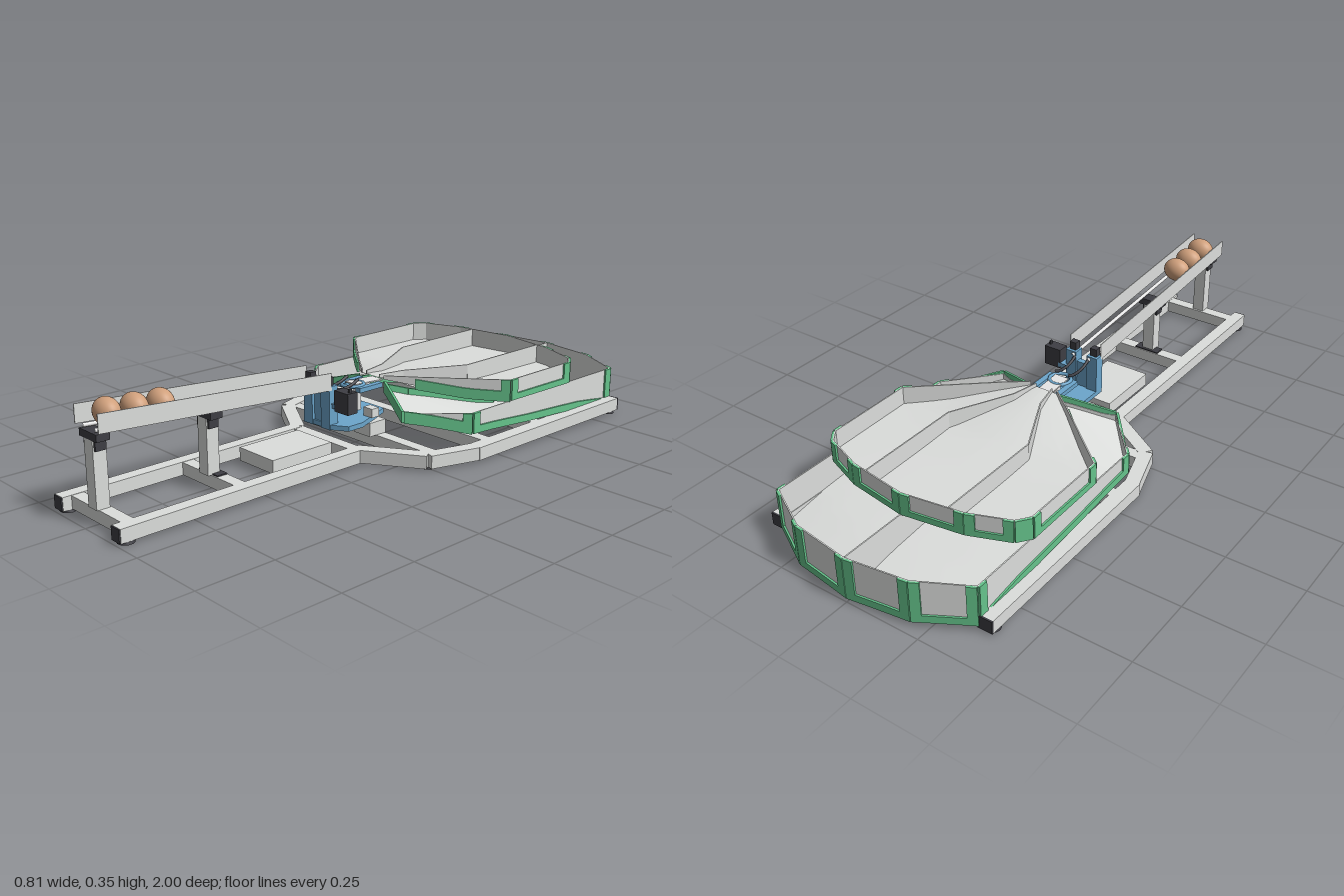
import * as THREE from 'three';

const mat = (name, color, side = THREE.FrontSide) => {
  const m = new THREE.MeshStandardMaterial({ color, side });
  m.name = name;
  return m;
};

export function createModel() {
  const root = new THREE.Group();
  root.name = 'eggSortingTable';
  const grey = mat('light grey', 0xdcdedc);
  const sheet = mat('grey sheet', 0xdcdedc, THREE.DoubleSide);
  const green = mat('green', 0x66c48c);
  const blue = mat('blue', 0x6ca6cc);
  const black = mat('black', 0x3e3e44);
  const eggTan = mat('egg tan', 0xd0a07c);
  const white = mat('white', 0xeeeeee);

  const add = (name, geo, m, x = 0, y = 0, z = 0) => {
    const mesh = new THREE.Mesh(geo, m);
    mesh.name = name;
    mesh.position.set(x, y, z);
    root.add(mesh);
    return mesh;
  };
  // box from its lower and upper limits
  const box = (name, m, x0, x1, y0, y1, z0, z1) =>
    add(name, new THREE.BoxGeometry(x1 - x0, y1 - y0, z1 - z0), m, (x0 + x1) / 2, (y0 + y1) / 2, (z0 + z1) / 2);

  // piecewise linear lookup in [key, value] pairs with rising keys
  const lookup = (table, k) => {
    if (k <= table[0][0]) return table[0][1];
    for (let i = 1; i < table.length; i++) {
      const [a, u] = table[i - 1], [b, v] = table[i];
      if (k <= b) return u + ((v - u) * (k - a)) / (b - a);
    }
    return table[table.length - 1][1];
  };

  // upright panel from p to q ([x, z]) whose lower and upper edges follow functions of x, z;
  // out moves it sideways, away from the tray middle
  const panel = (name, m, p, q, lo, hi, t = 0.004, out = 0) => {
    const geo = new THREE.BoxGeometry(1, 1, 1, 8, 1, 1).toNonIndexed();
    const pos = geo.attributes.position;
    const dx = q[0] - p[0], dz = q[1] - p[1], len = Math.hypot(dx, dz);
    const away = -dz * (p[0] + q[0]) + dx * (p[1] + q[1] + 0.8) > 0 ? out : -out;
    for (let i = 0; i < pos.count; i++) {
      const s = pos.getX(i) + 0.5, w = pos.getZ(i) * t + away;
      const x = p[0] + dx * s, z = p[1] + dz * s;
      pos.setXYZ(i, x - (dz / len) * w, pos.getY(i) < 0 ? lo(x, z) : hi(x, z), z + (dx / len) * w);
    }
    geo.computeVertexNormals();
    return add(name, geo, m);
  };
  const chain = (name, m, pts, lo, hi, t, out) => {
    for (const s of [-1, 1])
      for (let i = 1; i < pts.length; i++)
        panel(name, m, [s * pts[i - 1][0], pts[i - 1][1]], [s * pts[i][0], pts[i][1]], lo, hi, t, out);
  };

  // sloping tray floor, built from rows between an inner and an outer edge
  const floor = (name, inner, outer, h) => {
    const z0 = outer[0][0], z1 = outer[outer.length - 1][0];
    const zs = [...inner, ...outer].map(e => e[0]);
    for (let z = z0; z < z1; z += 0.04) zs.push(z);
    const rows = [...new Set(zs)].filter(z => z >= z0 && z <= z1).sort((a, b) => a - b);
    const n = 10;
    for (const s of [-1, 1]) {
      const verts = [], idx = [];
      rows.forEach((z, r) => {
        const a = lookup(inner, z), b = lookup(outer, z);
        for (let i = 0; i <= n; i++) {
          const x = s * (a + ((b - a) * i) / n);
          verts.push(x, h(x, z), z);
          if (r && i) {
            const d = r * (n + 1) + i, c = d - 1, f = d - n - 1, e = f - 1;
            if (s > 0) idx.push(e, c, f, f, c, d);
            else idx.push(e, f, c, f, d, c);
          }
        }
      });
      const geo = new THREE.BufferGeometry();
      geo.setAttribute('position', new THREE.Float32BufferAttribute(verts, 3));
      geo.setIndex(idx);
      geo.computeVertexNormals();
      add(name, geo, sheet);
    }
  };

  // tray heights fall with distance from the nozzle
  const slope = table => (x, z) => lookup(table, Math.hypot(x, z + 0.06));
  const hLow = slope([[0.06, 0.175], [0.37, 0.09], [0.5, 0.07], [0.75, 0.05], [0.94, 0.018]]);
  const hUp = slope([[0.05, 0.208], [0.13, 0.195], [0.32, 0.166], [0.45, 0.16], [0.7, 0.157]]);
  const topLow = (x, z) => Math.max(0.15, hLow(x, z) + 0.012);
  const topUp = (x, z) => Math.max(0.22, hUp(x, z) + 0.012);
  const lift = (h, d) => (x, z) => h(x, z) + d;

  // lower tray
  const lowOut = [[0, -0.993], [0.2, -0.965], [0.36, -0.88], [0.36, -0.16], [0.22, 0], [0.06, -0.08]];
  const lowIn = [[0.06, -0.08], [0.1, -0.14], [0.19, -0.46], [0, -0.56]];
  floor('lowerTrayFloor', [[-0.56, 0], [-0.46, 0.19], [-0.14, 0.1], [-0.08, 0.06], [0, 0.22]],
    [[-0.993, 0], [-0.965, 0.2], [-0.88, 0.36], [-0.16, 0.36], [0, 0.22]], hLow);
  chain('lowerTrayWall', grey, lowOut, hLow, topLow);
  chain('lowerInnerWall', grey, lowIn, hLow, topLow);
  chain('lowerEdgeStrip', green, lowOut.slice(0, 4), lift(hLow, -0.006), lift(hLow, 0.018), 0.008, 0.004);
  chain('lowerFrontStrip', green, lowOut.slice(3), lift(hLow, -0.008), lift(hLow, 0.03), 0.008, 0.004);
  chain('lowerInnerStrip', green, lowIn, lift(hLow, -0.008), lift(hLow, 0.02), 0.01);
  panel('lowerDivider', grey, [0, -0.56], [0, -0.99], hLow, topLow);

  // upper tray
  const upOut = [[0, -0.76], [0.2, -0.73], [0.33, -0.68], [0.36, -0.64], [0.36, -0.34], [0.13, -0.143], [0.05, -0.08]];
  floor('upperTrayFloor', [[-0.76, 0], [-0.08, 0]],
    [[-0.76, 0], [-0.73, 0.2], [-0.68, 0.33], [-0.64, 0.36], [-0.34, 0.36], [-0.143, 0.13], [-0.08, 0.05]], hUp);
  chain('upperTrayWall', grey, upOut, hUp, topUp);
  chain('upperEdgeStrip', green, upOut.slice(0, 5), lift(hUp, -0.008), lift(hUp, 0.012), 0.008, 0.004);
  chain('upperFrontStrip', green, upOut.slice(4, 6), lift(hUp, -0.012), lift(hUp, 0.022), 0.008, 0.004);
  chain('laneDivider', grey, [[0.15, -0.735], [0.15, -0.37], [0.05, -0.17], [0.03, -0.08]], hUp, topUp);

  // green corner brackets, each wrapping the outside of the two edges at a corner
  const brackets = (pts, ids, lo, hi) => {
    for (const i of ids)
      for (const j of [i - 1, i + 1]) {
        if (!pts[j]) continue;
        const d = Math.hypot(pts[j][0] - pts[i][0], pts[j][1] - pts[i][1]);
        const k = Math.min(0.03 / d, 0.5);
        const e = [0, 1].map(c => pts[i][c] + (pts[j][c] - pts[i][c]) * k);
        chain('cornerBracket', green, [pts[i], e], lo, hi, 0.008, 0.004);
      }
  };
  brackets(lowOut, [0, 1, 2, 3], lift(hLow, -0.004), topLow);
  brackets(upOut, [0, 1, 2, 3, 4], lift(hUp, -0.004), topUp);

  // black pads under the lower tray
  for (const s of [-1, 1])
    for (const [x, z] of [[0.09, -0.86], [0.26, -0.84]])
      box('trayPad', black, s * x - 0.02, s * x + 0.02, hLow(x, z) - 0.012, hLow(x, z) - 0.004, z - 0.015, z + 0.015);

  // base frame
  const y0 = () => 0.008, y1 = () => 0.05;
  for (const s of [-1, 1]) {
    box('rearRail', grey, s * 0.38 - 0.024, s * 0.38 + 0.024, 0.008, 0.05, -0.876, -0.15);
    box('frontRail', grey, s * 0.146 - 0.021, s * 0.146 + 0.021, 0.008, 0.05, 0.12, 0.993);
    box('railCap', black, s * 0.38 - 0.024, s * 0.38 + 0.024, 0.008, 0.05, -0.882, -0.876);
    box('railCap', black, s * 0.146 - 0.019, s * 0.146 + 0.019, 0.009, 0.049, 0.993, 0.997);
    for (const [x, z] of [[0.38, -0.85], [0.146, 0.965], [0.315, -0.01]])
      add('foot', new THREE.CylinderGeometry(0.022, 0.025, 0.008, 20), black, s * x, 0.004, z);
  }
  chain('bentRail', grey, [[0.381, -0.16], [0.33, 0.005], [0.14, 0.125]], y0, y1, 0.046);
  for (const [z, w] of [[0.945, 0.13], [0.57, 0.13], [0.13, 0.16], [-0.02, 0.32], [-0.23, 0.36], [-0.48, 0.36]])
    box('crossBar', grey, -w, w, 0.009, 0.049, z - 0.02, z + 0.02);
  box('controlBox', grey, -0.092, 0.068, 0.015, 0.058, 0.165, 0.4);

  // inclined chute with side plates and rods
  const chuteY = z => 0.222 + (z - 0.155) * 0.07;
  for (const s of [-1, 1]) {
    panel('chuteSide', grey, [s * 0.059, 0.155], [s * 0.059, 0.975], (x, z) => chuteY(z), (x, z) => chuteY(z) + 0.056, 0.003);
    const rod = new THREE.LineCurve3(new THREE.Vector3(s * 0.03, chuteY(0.12) + 0.005, 0.12),
      new THREE.Vector3(s * 0.03, chuteY(0.97) + 0.002, 0.97));
    add('chuteRod', new THREE.TubeGeometry(rod, 1, 0.006, 10), white);
    // curved guide leading from chute to nozzle
    const guide = new THREE.CatmullRomCurve3([[0.15, 0.228], [0.1, 0.205], [0.05, 0.205], [0.01, 0.22]]
      .map(([z, y]) => new THREE.Vector3(s * 0.025, y, z)));
    add('guideRod', new THREE.TubeGeometry(guide, 16, 0.005, 8), black);
  }
  for (const [z, top] of [[0.952, 0.25], [0.582, 0.225]]) {
    box('chutePost', grey, -0.021, 0.021, 0.05, top, z - 0.021, z + 0.021);
    box('postClamp', black, -0.029, 0.029, top - 0.03, top, z - 0.017, z + 0.017);
    box('postBracket', black, -0.043, 0.043, top, top + 0.022, z - 0.021, z + 0.021);
  }
  box('barClamp', black, -0.045, 0.045, 0.05, 0.054, 0.552, 0.588);

  // eggs
  for (const z of [0.735, 0.82, 0.907])
    add('egg', new THREE.SphereGeometry(1, 32, 20), eggTan, -0.006, chuteY(z) + 0.037, z).scale.set(0.048, 0.041, 0.036);

  // sorting mechanism
  const plate = new THREE.Shape([[-0.06, -0.16], [0.06, -0.16], [0.11, -0.13], [0.11, -0.07], [0.075, 0.02], [0.05, 0.08], [-0.05, 0.08], [-0.06, 0.02]]
    .map(([x, y]) => new THREE.Vector2(x, y)));
  const plateGeo = new THREE.ExtrudeGeometry(plate, { depth: 0.016, bevelEnabled: false });
  plateGeo.rotateX(-Math.PI / 2);
  add('mechanismPlate', plateGeo, blue, 0, 0.095, 0);
  for (const s of [-1, 1]) {
    box('mechanismColumn', blue, s * 0.04 - 0.02, s * 0.04 + 0.02, 0.095, 0.235, 0.13, 0.165);
    box('guideArm', blue, s * 0.045 - 0.01, s * 0.045 + 0.01, 0.185, 0.2, -0.07, 0.03);
    box('columnCap', black, s * 0.04 - 0.012, s * 0.04 + 0.012, 0.222, 0.262, 0.14, 0.163);
  }
  box('mechanismFront', blue, -0.02, 0.02, 0.095, 0.2, 0.135, 0.155);
  box('servoArm', blue, 0.05, 0.085, 0.165, 0.18, 0.12, 0.155);
  box('servo', black, 0.077, 0.138, 0.16, 0.228, 0.12, 0.16);
  box('servoPlug', black, 0.125, 0.131, 0.228, 0.24, 0.136, 0.146);
  box('mechanismPost', grey, -0.125, -0.08, 0.05, 0.158, -0.03, -0.005);
  box('mechanismBlock', grey, 0.03, 0.1, 0.05, 0.095, -0.04, 0.03);
  box('mechanismBlock', grey, -0.08, 0.03, 0.05, 0.095, -0.04, 0.02);
  box('motorBody', grey, 0.06, 0.1, 0.111, 0.14, -0.01, 0.02);
  add('swivelShaft', new THREE.CylinderGeometry(0.012, 0.012, 0.08, 16), white, 0, 0.15, -0.01);
  const tongue = box('nozzleTongue', white, -0.025, 0.025, 0.198, 0.202, -0.1, 0.02);
  tongue.rotation.x = -0.06;
  const ring = add('swivelRing', new THREE.TorusGeometry(0.035, 0.006, 8, 24), blue, 0, 0.2, 0.01);
  ring.rotation.x = Math.PI / 2;
  return root;
}
